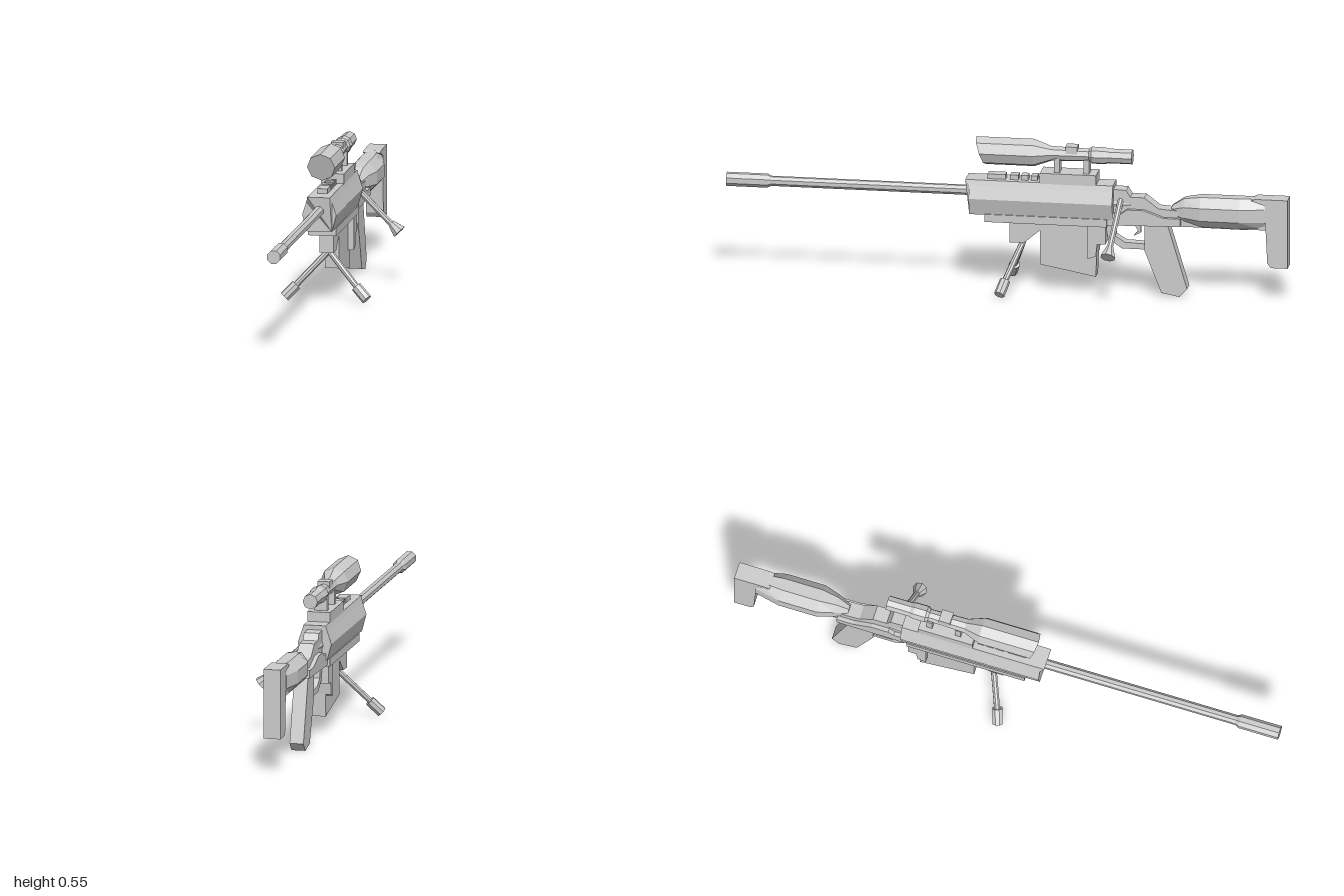
import * as THREE from 'three';

const mat = new THREE.MeshStandardMaterial({ color: 0xcccccc, flatShading: true });

export function createModel() {
  const model = new THREE.Group();
  model.position.x = -0.024;
  const root = new THREE.Group();
  root.add(model);

  const add = (name, geo) => {
    const mesh = new THREE.Mesh(geo, mat);
    mesh.name = name;
    model.add(mesh);
    return mesh;
  };

  // Side outline of [z, y] points, given a half width across x
  const plate = (name, half, pts) => {
    const shape = new THREE.Shape(pts.map(([z, y]) => new THREE.Vector2(z, y)));
    const geo = new THREE.ExtrudeGeometry(shape, { depth: half * 2, bevelEnabled: false });
    geo.translate(0, 0, -half).rotateY(-Math.PI / 2);
    return add(name, geo);
  };

  // Block between two z and two y values
  const block = (name, half, z0, z1, y0, y1) => {
    const geo = new THREE.BoxGeometry(half * 2, y1 - y0, z1 - z0);
    return add(name, geo.translate(0, (y0 + y1) / 2, (z0 + z1) / 2));
  };

  // Skin over rings of [x, y, z] listed front to back, each counter-clockwise from the front
  const loft = (name, rings) => {
    const n = rings[0].length, idx = [];
    for (let r = 0; r < rings.length - 1; r++) {
      for (let i = 0; i < n; i++) {
        const j = (i + 1) % n, a = r * n, b = a + n;
        idx.push(a + i, b + i, a + j, b + i, b + j, a + j);
      }
    }
    const last = (rings.length - 1) * n;
    for (let i = 1; i < n - 1; i++) idx.push(0, i, i + 1, last, last + i + 1, last + i);
    const geo = new THREE.BufferGeometry();
    geo.setAttribute('position', new THREE.Float32BufferAttribute(rings.flat(2), 3));
    geo.setIndex(idx);
    const flat = geo.toNonIndexed();
    flat.computeVertexNormals();
    return add(name, flat);
  };

  // Eight-sided ring; lean pushes the top forward
  const ring = (z, y, rx, ry = rx, turn = 0, lean = 0) =>
    Array.from({ length: 8 }, (_, i) => {
      const a = i * Math.PI / 4 + turn;
      return [rx * Math.cos(a), y + ry * Math.sin(a), z + lean * Math.sin(a)];
    });

  // Eight-sided rod between two points
  const rod = (name, from, to, r0, r1 = r0) => {
    const a = new THREE.Vector3(...from), b = new THREE.Vector3(...to);
    const dir = b.clone().sub(a);
    const mesh = add(name, new THREE.CylinderGeometry(r1, r0, dir.length(), 8));
    mesh.position.copy(a).add(b).multiplyScalar(0.5);
    mesh.quaternion.setFromUnitVectors(new THREE.Vector3(0, 1, 0), dir.normalize());
    return mesh;
  };

  // Barrel and muzzle
  const eighth = Math.PI / 8;
  loft('barrel', [[1, 0.025], [0.855, 0.025], [0.84, 0.018], [0.1, 0.018]]
    .map(([z, r]) => ring(z, 0.35, r, r, eighth)));

  // Receiver, with its top lip overhanging the front
  const section = [[0.045, 0.275], [0.061, 0.335], [0.046, 0.38], [0.04, 0.4]];
  const outline = [...section, ...section.slice().reverse().map(([x, y]) => [-x, y])];
  loft('receiver', [
    outline.map(([x, y]) => [x, y, y > 0.39 ? 0.145 : 0.13]),
    outline.map(([x, y]) => [x, y, -0.38]),
  ]);
  block('lowerReceiver', 0.05, -0.36, 0.075, 0.25, 0.278);
  [[0.005, 0.07], [-0.04, -0.01], [-0.075, -0.05], [-0.108, -0.085]]
    .forEach(([a, b]) => block('railTooth', 0.018, a, b, 0.395, 0.417));

  // Scope mount and scope
  block('scopeRail', 0.041, -0.32, -0.12, 0.395, 0.435);
  [-0.178, -0.283].forEach(z => block('scopeMount', 0.024, z - 0.01, z + 0.01, 0.43, 0.485));
  loft('scope', [
    ring(0.095, 0.498, 0.05, 0.05, 0, 0.017),
    ring(-0.095, 0.498, 0.05),
    ring(-0.155, 0.498, 0.027),
    ring(-0.29, 0.498, 0.023),
    ring(-0.3, 0.498, 0.031),
    ring(-0.345, 0.498, 0.031),
    ring(-0.358, 0.498, 0.027),
    ring(-0.444, 0.498, 0.027),
  ]);
  block('scopeTurret', 0.022, -0.25, -0.208, 0.495, 0.53);

  // Magazine, its housing and the bipod mount
  plate('magazine', 0.025, [[-0.118, 0.26], [-0.118, 0.097], [-0.317, 0.06], [-0.325, 0.26]]);
  plate('magazineHousing', 0.045, [[-0.29, 0.26], [-0.29, 0.13], [-0.32, 0.14],
    [-0.325, 0.185], [-0.355, 0.187], [-0.355, 0.26]]);
  plate('bipodMount', 0.025, [[-0.01, 0.26], [-0.01, 0.172], [-0.06, 0.172],
    [-0.118, 0.22], [-0.118, 0.26]]);

  // Bipod
  for (const s of [-1, 1]) {
    rod('bipodLeg', [0, 0.172, -0.055], [s * 0.118, 0.045, -0.003], 0.011);
    rod('bipodFoot', [s * 0.107, 0.055, -0.007], [s * 0.147, 0.014, 0.007], 0.019);
  }

  // Bolt and its flared handle
  rod('bolt', [0, 0.33, -0.36], [0, 0.33, -0.44], 0.033, 0.028);
  rod('boltHandle', [0.02, 0.345, -0.405], [0.165, 0.205, -0.388], 0.011);
  rod('boltKnob', [0.16, 0.212, -0.389], [0.19, 0.182, -0.386], 0.013, 0.027);

  // Rear tang and frame bar
  plate('rearTang', 0.027, [[-0.36, 0.27], [-0.36, 0.385], [-0.425, 0.382], [-0.44, 0.358],
    [-0.49, 0.358], [-0.54, 0.32], [-0.61, 0.315], [-0.61, 0.285], [-0.49, 0.285], [-0.45, 0.31], [-0.41, 0.27]]);
  plate('frameBar', 0.042, [[-0.34, 0.255], [-0.34, 0.3], [-0.41, 0.3], [-0.43, 0.315],
    [-0.49, 0.315], [-0.56, 0.29], [-0.62, 0.29], [-0.62, 0.262]]);
  block('stockBar', 0.025, -0.94, -0.6, 0.258, 0.292);

  // Trigger and guard
  plate('triggerGuard', 0.02, [[-0.35, 0.26], [-0.36, 0.2], [-0.41, 0.167], [-0.5, 0.167],
    [-0.5, 0.187], [-0.42, 0.19], [-0.385, 0.212], [-0.38, 0.26]]);
  plate('trigger', 0.009, [[-0.445, 0.265], [-0.465, 0.23], [-0.45, 0.212],
    [-0.475, 0.225], [-0.475, 0.265]]);

  // Grip
  plate('grip', 0.025, [[-0.49, 0.27], [-0.49, 0.165], [-0.55, 0.012], [-0.615, 0],
    [-0.642, 0.03], [-0.57, 0.27]]);

  // Shoulder stock and butt plate
  loft('stock', [
    ring(-0.585, 0.31, 0.018, 0.02, eighth),
    ring(-0.63, 0.312, 0.038, 0.05, eighth),
    ring(-0.69, 0.312, 0.057, 0.06, eighth),
    ring(-0.83, 0.312, 0.057, 0.061, eighth),
    ring(-0.92, 0.312, 0.036, 0.061, eighth),
  ]);
  plate('buttPlate', 0.031, [[-0.87, 0.365], [-0.885, 0.372], [-1, 0.372], [-1, 0.123],
    [-0.94, 0.123], [-0.928, 0.14], [-0.918, 0.35]]);

  return root;
}
